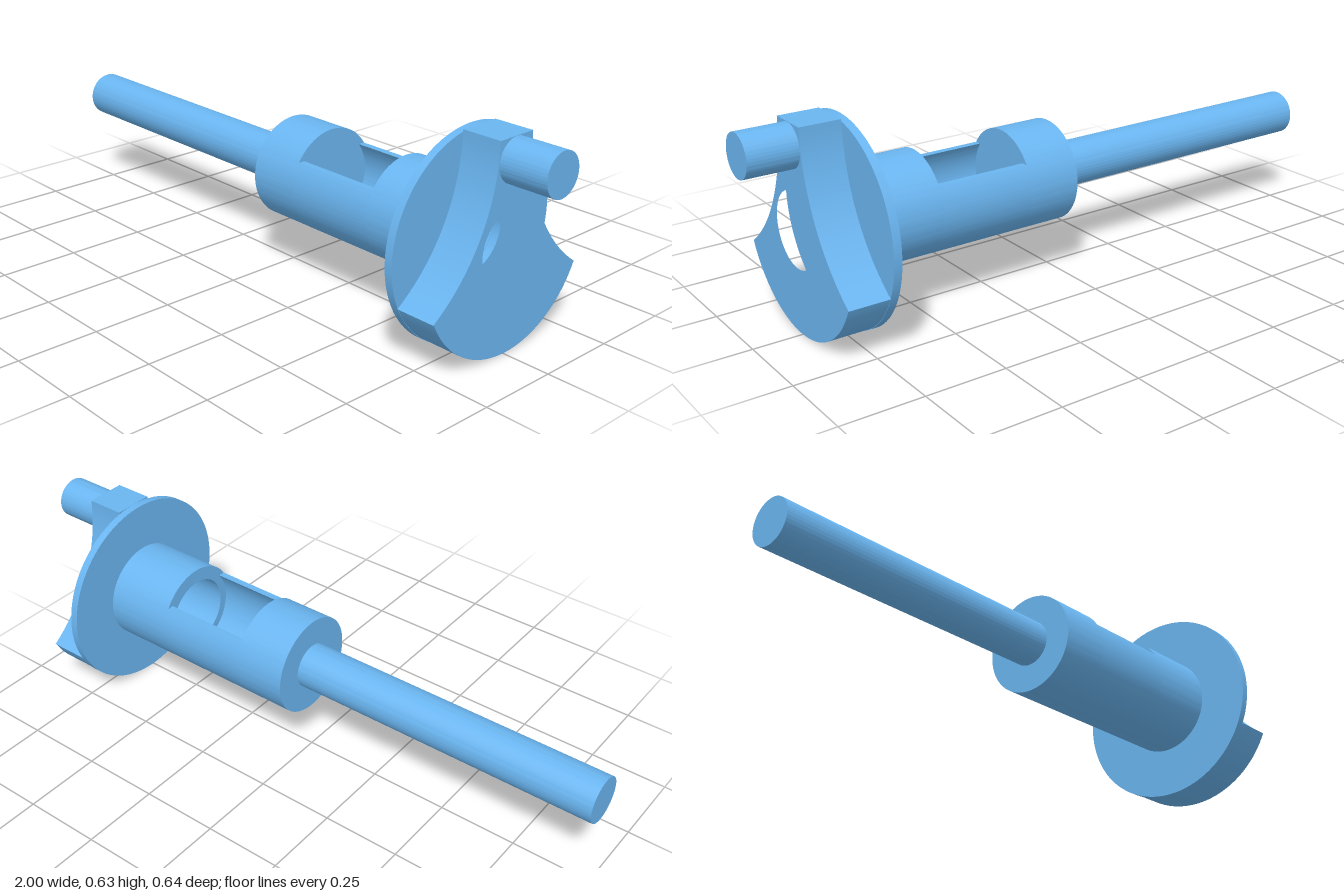
import * as THREE from 'three';
import { toCreasedNormals } from 'three/addons/utils/BufferGeometryUtils.js';

const AXIS = 0.316; // height of the shaft axis
const BORE = 0.113, CHAMBER = 0.14, BARREL = 0.158;
const DISC_Y = 0.314, DISC_Z = 0.32; // disc radii

const material = new THREE.MeshStandardMaterial({ color: 0x6ab5f0 });

// Extrude a cross-section (drawn around the axis) along x from x0 to x1
function section(name, shape, x0, x1, y = AXIS) {
  let geo = new THREE.ExtrudeGeometry(shape, { depth: x1 - x0, bevelEnabled: false, curveSegments: 64 });
  geo.rotateY(Math.PI / 2).translate(x0, y, 0);
  geo = toCreasedNormals(geo, 0.5);
  const mesh = new THREE.Mesh(geo, material);
  mesh.name = name;
  return mesh;
}

function ellipse(rz, ry = rz, hole = 0) {
  const s = new THREE.Shape().absellipse(0, 0, rz, ry, 0, Math.PI * 2, false);
  if (hole) s.holes.push(boreHole(hole));
  return s;
}

function boreHole(r) {
  return new THREE.Path().absarc(0, 0, r, 0, Math.PI * 2, true);
}

// Open-topped trough: barrel wall cut off at the window ledge
function troughShape() {
  const ledge = 0.4 - AXIS;
  const outer = Math.asin(ledge / BARREL), inner = Math.asin(ledge / CHAMBER);
  const s = new THREE.Shape();
  s.absarc(0, 0, BARREL, outer, Math.PI - outer, true);
  s.absarc(0, 0, CHAMBER, Math.PI - inner, inner, false);
  s.closePath();
  return s;
}

// Crank web: round below, narrowing to a neck through two concave flanks
function webShape() {
  const top = 0.628 - AXIS, neck = 0.065, R = 0.524;
  const tipZ = 0.294, tipY = 0.187 - AXIS;
  const centreY = 0.62 - AXIS, centreZ = neck + R;
  const sweep = Math.atan2(tipY - centreY, tipZ - centreZ);
  const down = sweep < 0 ? sweep + Math.PI * 2 : sweep;
  const tip = Math.atan2(tipY / DISC_Y, tipZ / DISC_Z);
  const s = new THREE.Shape();
  s.moveTo(-neck, top);
  s.lineTo(neck, top);
  s.absarc(centreZ, centreY, R, Math.PI, down, false);
  s.absellipse(0, 0, DISC_Z, DISC_Y, tip, -Math.PI - tip, true);
  s.absarc(-centreZ, centreY, R, Math.PI - down, 0, false);
  s.closePath();
  s.holes.push(boreHole(BORE));
  return s;
}

export function createModel() {
  const model = new THREE.Group();
  model.name = 'crankShaft';

  // Thin shaft
  model.add(section('shaft', ellipse(0.0715), -1, 0));

  // Barrel with a window opening into a wider chamber
  const barrel = new THREE.Group();
  barrel.name = 'barrel';
  barrel.add(
    section('barrelEnd', ellipse(BARREL), 0, 0.17),
    section('barrelWindow', troughShape(), 0.17, 0.47),
    section('barrelSleeve', ellipse(BARREL, BARREL, BORE), 0.47, 0.7)
  );
  model.add(barrel);

  // Disc, crank web and eccentric pin
  model.add(section('disc', ellipse(DISC_Z, DISC_Y, BORE), 0.7, 0.725, DISC_Y));
  model.add(section('crankWeb', webShape(), 0.725, 0.85));
  model.add(section('crankPin', ellipse(0.065), 0.85, 1, 0.562));

  return model;
}
